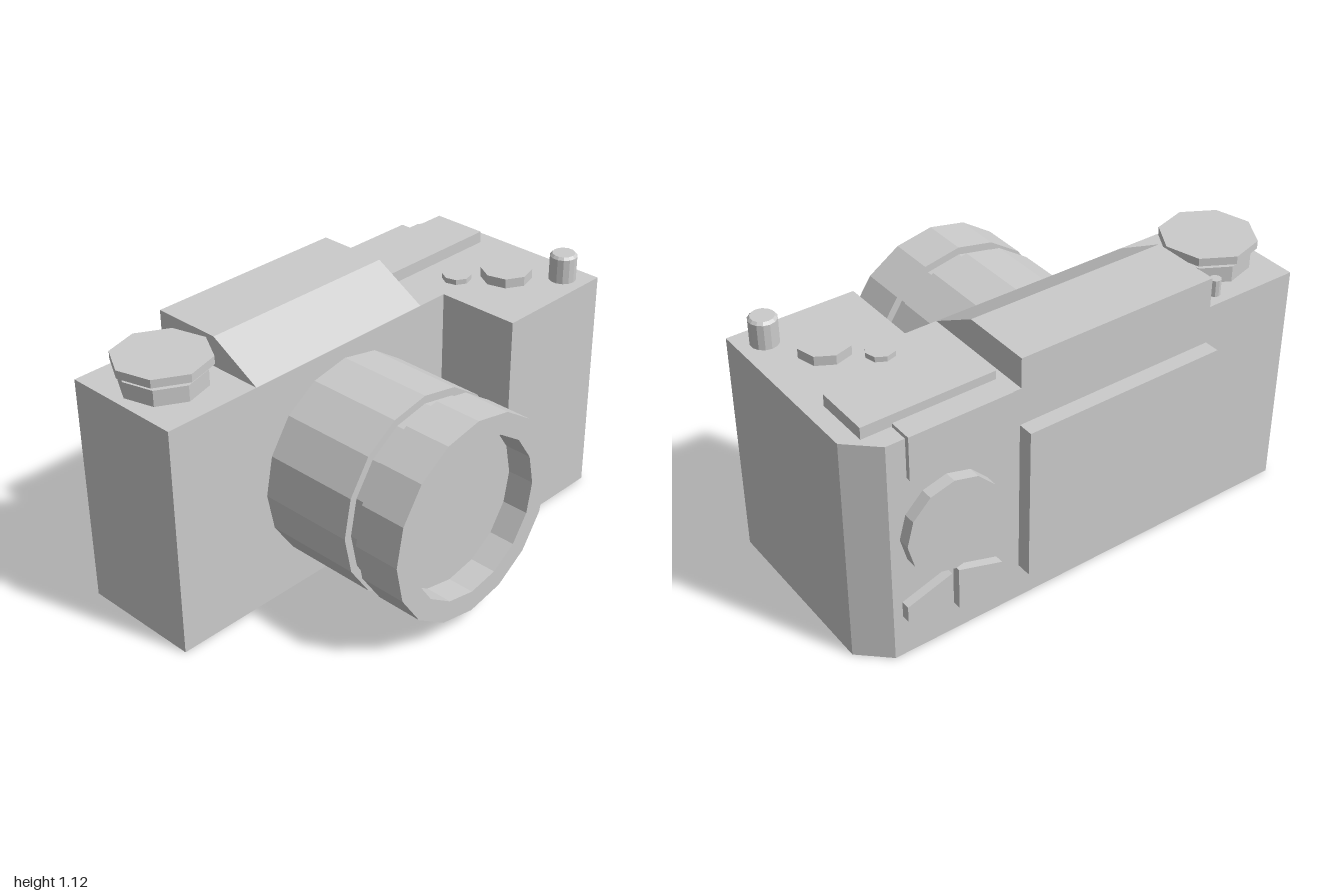
import * as THREE from 'three';

const BODY_TOP = 0.99, BACK = -0.57;

export function createModel() {
  const group = new THREE.Group();
  const material = new THREE.MeshStandardMaterial({ color: 0xcccccc, flatShading: true });

  const add = (name, geometry) => {
    const mesh = new THREE.Mesh(geometry, material);
    mesh.name = name;
    group.add(mesh);
    return mesh;
  };
  const prism = (points, depth) => new THREE.ExtrudeGeometry(
    new THREE.Shape(points.map(([x, y]) => new THREE.Vector2(x, y))),
    { depth, bevelEnabled: false });
  // Box from its minimum and maximum corners
  const box = (name, [x0, y0, z0], [x1, y1, z1]) =>
    add(name, new THREE.BoxGeometry(x1 - x0, y1 - y0, z1 - z0)
      .translate((x0 + x1) / 2, (y0 + y1) / 2, (z0 + z1) / 2));
  // Upright faceted disc between two heights
  const disc = (name, x, z, r, y0, y1, sides = 8, turn = -0.12, rTop = r) =>
    add(name, new THREE.CylinderGeometry(rTop, r, y1 - y0, sides)
      .rotateY(turn).translate(x, (y0 + y1) / 2, z));

  // Body with front grip and one chamfered rear corner, drawn as (x, -z)
  add('body', prism([
    [-1, 0.04], [0.45, 0.04], [0.45, -0.32], [1, -0.32],
    [1, 0.46], [0.88, 0.57], [-1, 0.57],
  ], BODY_TOP).rotateX(-Math.PI / 2));

  // Raised top housing with sloped front, drawn as (-z, y)
  add('topHousing', prism([
    [0.04, BODY_TOP], [0.57, BODY_TOP], [0.57, 1.118], [0.265, 1.118],
  ], 0.89).rotateY(Math.PI / 2).translate(-0.58, 0, 0));

  // Lens barrel with groove and recessed front
  const barrel = [
    [0.43, -0.04], [0.43, 0.375], [0.397, 0.375], [0.397, 0.432], [0.43, 0.432],
    [0.43, 0.635], [0.34, 0.635], [0.34, 0.52], [0, 0.52],
  ].map(([r, z]) => new THREE.Vector2(r, z));
  add('lensBarrel', new THREE.LatheGeometry(barrel, 16)
    .rotateX(Math.PI / 2).translate(-0.12, 0.498, 0));

  // Stacked knob and pin on the right-hand top
  disc('knobBase', -0.79, -0.312, 0.172, BODY_TOP, 1.057);
  disc('knobNeck', -0.79, -0.312, 0.147, 1.057, 1.08);
  disc('knobCap', -0.79, -0.312, 0.195, 1.08, 1.114);
  disc('pin', -0.655, -0.51, 0.024, BODY_TOP, 1.06, 10, 0);

  // Controls above the grip
  box('topPlate', [0.36, BODY_TOP, -0.487], [0.925, 1.04, -0.25]);
  disc('smallDial', 0.593, -0.095, 0.06, BODY_TOP, 1.012);
  disc('largeDial', 0.745, 0.042, 0.106, BODY_TOP, 1.03);
  disc('shutterButton', 0.895, 0.217, 0.057, BODY_TOP, 1.095, 14, 0);
  disc('shutterButtonTop', 0.895, 0.217, 0.057, 1.095, 1.106, 14, 0, 0.047);

  // Rear window block, screen and round pad
  box('rearBlock', [0.36, 0.82, -0.59], [0.8, 1.006, -0.49]);
  box('screen', [-0.575, 0.16, -0.635], [0.315, 0.83, BACK]);
  add('roundPad', new THREE.CylinderGeometry(0.204, 0.204, 0.05, 12)
    .rotateX(Math.PI / 2).translate(0.635, 0.557, BACK - 0.025));

  // Mirrored pair of tapered rear buttons
  for (const s of [-1, 1]) {
    const outline = [[0.015, 0.135], [0.21, 0.19], [0.21, 0.26], [0.015, 0.322]];
    add(s > 0 ? 'leftRearButton' : 'rightRearButton',
      prism(outline.map(([x, y]) => [0.63 + s * x, y]), 0.037).translate(0, 0, BACK - 0.037));
  }

  return group;
}
